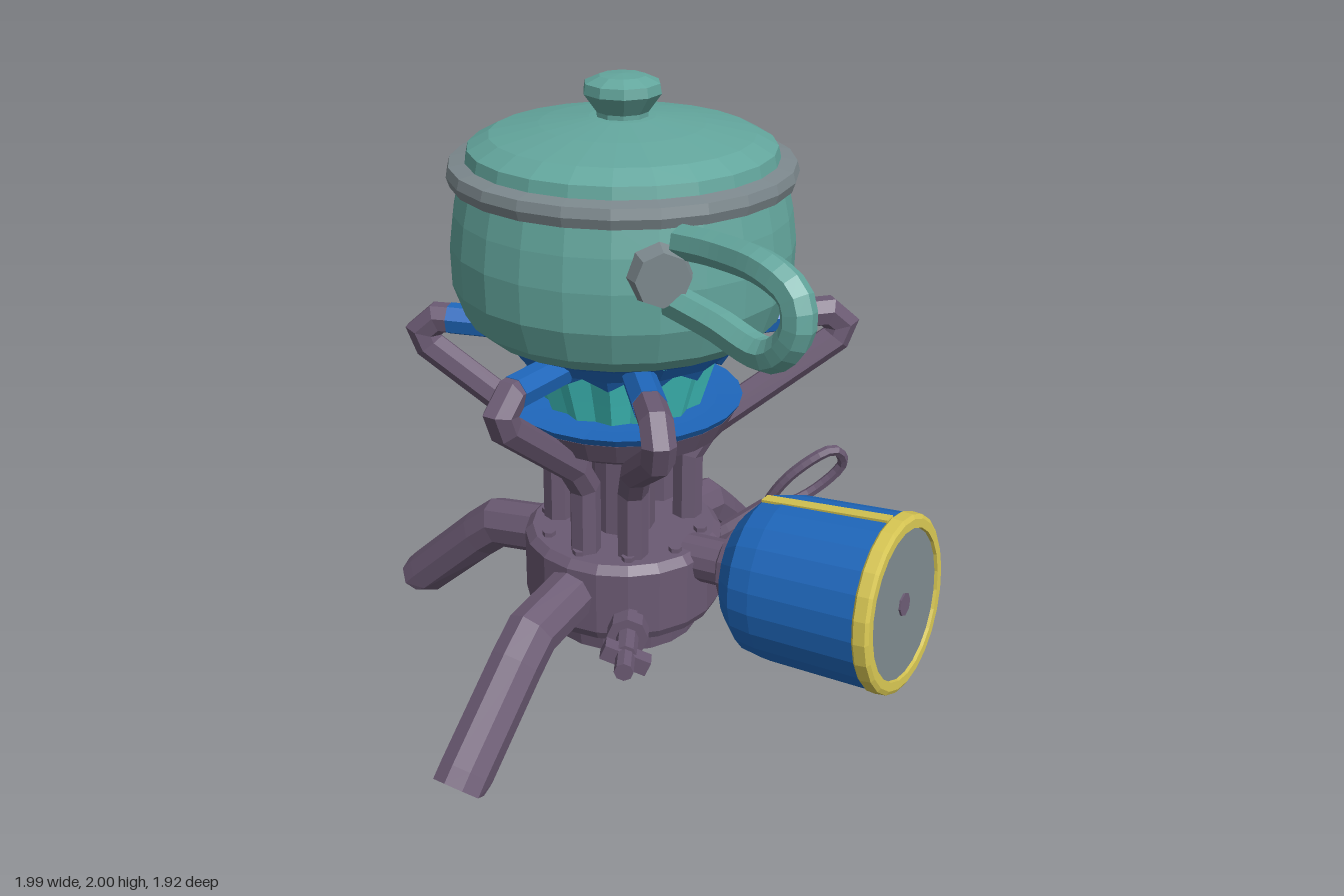
import * as THREE from 'three';

const mat = (name, color) => {
  const m = new THREE.MeshStandardMaterial({ color });
  m.name = name;
  return m;
};
const V = (x, y, z = 0) => new THREE.Vector3(x, y, z);
const rad = THREE.MathUtils.degToRad;

// Faceted copy of a geometry
function facet(geo) {
  const g = geo.index ? geo.toNonIndexed() : geo;
  g.computeVertexNormals();
  return g;
}

// Capped, mitred tube along a bent path of [r, y] points in the x-y plane
function bentBar(path, radius, sides) {
  const pts = path.map(([x, y]) => V(x, y)), pos = [], idx = [], b = V(0, 0, 1);
  pts.forEach((p, i) => {
    const t0 = pts[Math.max(i, 1)].clone().sub(pts[Math.max(i, 1) - 1]).normalize();
    const k = Math.min(i, pts.length - 2);
    const t1 = pts[k + 1].clone().sub(pts[k]).normalize();
    const t = t0.clone().add(t1).normalize();
    const n = b.clone().cross(t).multiplyScalar(1 / t.dot(t0));
    for (let j = 0; j < sides; j++) {
      const a = (j / sides) * Math.PI * 2;
      const q = p.clone().addScaledVector(n, radius * Math.cos(a)).addScaledVector(b, radius * Math.sin(a));
      pos.push(q.x, Math.max(q.y, 0), q.z);
    }
  });
  const last = (pts.length - 1) * sides, c0 = pts.length * sides;
  const first = pts[0], end = pts[pts.length - 1];
  pos.push(first.x, first.y, 0, end.x, Math.max(end.y, 0), 0);
  for (let j = 0; j < sides; j++) {
    const j1 = (j + 1) % sides;
    for (let i = 0; i < last; i += sides) {
      idx.push(i + j, i + j1, i + sides + j1, i + j, i + sides + j1, i + sides + j);
    }
    idx.push(c0, j1, j, c0 + 1, last + j, last + j1);
  }
  const g = new THREE.BufferGeometry();
  g.setAttribute('position', new THREE.Float32BufferAttribute(pos, 3));
  g.setIndex(idx);
  return g;
}

const lathe = (pts, seg = 24, start = 0, len = Math.PI * 2) =>
  new THREE.LatheGeometry(pts.map(([r, y]) => new THREE.Vector2(r, y)), seg, start, len);

const wire = (pts, r, closed, seg = 24, sides = 7) =>
  new THREE.TubeGeometry(new THREE.CatmullRomCurve3(pts, closed), seg, r, sides, closed);

export function createModel() {
  const plum = mat('plum metal', 0x6b5a73), teal = mat('teal enamel', 0x63a69d);
  const grey = mat('grey metal', 0x7c888d), blue = mat('blue paint', 0x1f68bd);
  const cyan = mat('cyan burner', 0x40c4c0), yellow = mat('yellow trim', 0xd6c552);
  const tan = mat('tan patch', 0xaa9c64);

  const model = new THREE.Group();
  const add = (parent, name, geo, material) => {
    const m = new THREE.Mesh(facet(geo), material);
    m.name = name;
    parent.add(m);
    return m;
  };
  const group = (name, x = 0, y = 0, z = 0) => {
    const g = new THREE.Group();
    g.name = name;
    g.position.set(x, y, z);
    model.add(g);
    return g;
  };
  const CX = -0.045;

  // Stove body, column and burner
  const stove = group('stove', CX);
  add(stove, 'base', lathe([[0, 0.17], [0.25, 0.17], [0.26, 0.25], [0.31, 0.25], [0.325, 0.28],
    [0.325, 0.49], [0.3, 0.515], [0, 0.515]], 20), plum);
  add(stove, 'column', new THREE.CylinderGeometry(0.1, 0.105, 0.4, 12).translate(0, 0.68, 0), plum);
  add(stove, 'burnerPan', lathe([[0, 0.85], [0.26, 0.85], [0.33, 0.89], [0.365, 0.96], [0, 0.96]]), plum);
  add(stove, 'burnerRim', lathe([[0.36, 0.955], [0.38, 0.985], [0.3, 0.98], [0, 0.97]]), blue);
  for (let i = 0; i < 10; i++) {
    const a = (i / 10) * Math.PI * 2 + 0.3;
    add(stove, 'bolt', new THREE.CylinderGeometry(0.022, 0.022, 0.02, 6)
      .translate(0.26 * Math.cos(a), 0.52, 0.26 * Math.sin(a)), plum);
  }

  // Fluted burner crown with a jagged blue flame ring above it
  const flute = (geo, depth, drop) => {
    const p = geo.attributes.position;
    for (let i = 0; i < p.count; i++) {
      const x = p.getX(i), z = p.getZ(i);
      const odd = Math.abs(Math.round(Math.atan2(x, z) / (Math.PI / 14))) % 2;
      if (odd) p.setXYZ(i, x * depth, p.getY(i) + (p.getY(i) < 1.15 ? drop : 0), z * depth);
    }
    return geo;
  };
  add(stove, 'burnerCrown', flute(lathe([[0.255, 0.97], [0.28, 1.05], [0.315, 1.16], [0.32, 1.2]], 28), 0.92, 0), cyan);
  add(stove, 'flameRing', flute(lathe([[0.325, 1.12], [0.35, 1.16], [0.39, 1.21]], 28), 0.97, 0.035), blue);

  // Three feet
  [90, 180, 270].forEach((deg) => {
    const leg = add(stove, 'leg', bentBar([[0.25, 0.4], [0.52, 0.355], [0.6, 0.29], [0.86, 0.05], [0.9, 0.01]], 0.086, 9), plum);
    leg.rotation.y = rad(deg);
  });

  // Pot supports around the burner: [angle, reach]
  [[49, 0.74], [-49, 0.74], [150, 0.73], [201, 0.66], [90, 0.63], [-90, 0.63]].forEach(([deg, r]) => {
    const arm = new THREE.Group();
    arm.name = 'potSupport';
    arm.rotation.y = rad(deg);
    stove.add(arm);
    add(arm, 'supportBar', bentBar([[0.22, 0.48], [0.22, 0.74], [0.28, 0.83], [r - 0.02, 1.09],
      [r, 1.14], [r - 0.05, 1.185], [0.56, 1.185]], 0.05, 7), plum);
    add(arm, 'supportTip', bentBar([[0.57, 1.185], [0.34, 1.18]], 0.052, 7), blue);
  });

  // Pot with blue underside, metal rim, lid and knob
  const pot = group('pot', CX);
  const wall = [[0.44, 1.235], [0.49, 1.28], [0.525, 1.38], [0.528, 1.5], [0.515, 1.6], [0.495, 1.69]];
  add(pot, 'potBase', lathe([[0, 1.205], [0.38, 1.205], [0.44, 1.235]]), blue);
  add(pot, 'potWall', lathe(wall), teal);
  add(pot, 'potRim', lathe([[0.49, 1.68], [0.52, 1.685], [0.53, 1.715], [0.522, 1.745], [0.47, 1.755]]), grey);
  add(pot, 'lid', lathe([[0.475, 1.745], [0.465, 1.79], [0.4, 1.825], [0.25, 1.855], [0.1, 1.875], [0, 1.88]]), teal);
  add(pot, 'lidKnob', lathe([[0.08, 1.86], [0.08, 1.89], [0.12, 1.945], [0.115, 1.975], [0.07, 1.995], [0, 2]], 10), teal);

  // Thin patches that follow the pot wall
  const patch = (name, d, a0, a1, y0, y1, m) => add(pot, name,
    lathe([[0.516 + d, y0], [0.525 + d, 1.38], [0.528 + d, 1.5], [0.515 + d, y1]], 8, rad(a0 + 90), rad(a1 - a0)), m);
  patch('backPatch', 0.006, 54, 126, 1.35, 1.62, tan);
  patch('backStrip', 0.005, 44, 50, 1.37, 1.61, grey);

  // Pot handle and its mounting plate
  const handle = group('potHandle');
  add(handle, 'handleLoop', wire([V(0.36, 1.645, 0.32), V(0.5, 1.655, 0.355), V(0.68, 1.65, 0.415), V(0.77, 1.6, 0.435),
    V(0.785, 1.51, 0.445), V(0.7, 1.42, 0.425), V(0.5, 1.445, 0.365), V(0.34, 1.47, 0.33)], 0.05, false, 28), teal);
  const plate = add(handle, 'handlePlate', new THREE.CylinderGeometry(0.08, 0.1, 0.07, 8).rotateX(Math.PI / 2), grey);
  plate.position.set(0.325, 1.55, 0.37);
  plate.rotation.y = rad(45);

  // Gas canister lying on its side, with trim, end disc and neck
  const can = group('canister', 0.45, 0.485, 0);
  can.rotation.z = rad(-85);
  add(can, 'canBody', lathe([[0, -0.02], [0.19, -0.02], [0.25, 0.045], [0.263, 0.12], [0.272, 0.47]]), blue);
  add(can, 'canTrim', lathe([[0.27, 0.465], [0.278, 0.475], [0.275, 0.51], [0.262, 0.518], [0.235, 0.518], [0.232, 0.505]]), yellow);
  add(can, 'canEnd', new THREE.CircleGeometry(0.238, 24).rotateX(-Math.PI / 2).translate(0, 0.508, 0), grey);
  add(can, 'endDot', new THREE.CylinderGeometry(0.036, 0.036, 0.006, 8).translate(0, 0.511, 0), plum);
  add(can, 'canStripe', new THREE.BoxGeometry(0.008, 0.42, 0.04).rotateZ(0.035).translate(-0.266, 0.26, 0), yellow);
  add(can, 'canNeck', lathe([[0, -0.24], [0.075, -0.24], [0.075, -0.1], [0.125, -0.07], [0.135, -0.01], [0, -0.01]], 12), plum);

  // Valve key: stem and wire loop
  const key = group('valveKey');
  add(key, 'keyStem', wire([V(0.14, 0.4, -0.14), V(0.24, 0.47, -0.2), V(0.34, 0.55, -0.28)], 0.035, false, 6), plum);
  add(key, 'keyLoop', wire([V(0.34, 0.55, -0.28), V(0.41, 0.68, -0.29), V(0.52, 0.77, -0.38), V(0.53, 0.7, -0.44),
    V(0.43, 0.58, -0.38)], 0.018, true, 24, 6), plum);

  // Regulator knob on the front corner
  const knob = group('regulator', 0.12, 0.34, 0.21);
  knob.rotation.y = rad(30);
  const zCyl = (r, len, z) => new THREE.CylinderGeometry(r, r, len, 8).rotateX(Math.PI / 2).translate(0, 0, z);
  add(knob, 'regulatorStem', zCyl(0.035, 0.3, 0.12), plum);
  add(knob, 'regulatorCollar', zCyl(0.065, 0.06, 0.14), plum);
  add(knob, 'regulatorWing', new THREE.BoxGeometry(0.15, 0.05, 0.05).rotateZ(-0.4).translate(0, -0.01, 0.26), plum);
  add(knob, 'regulatorTip', zCyl(0.03, 0.08, 0.32), plum);

  return model;
}
